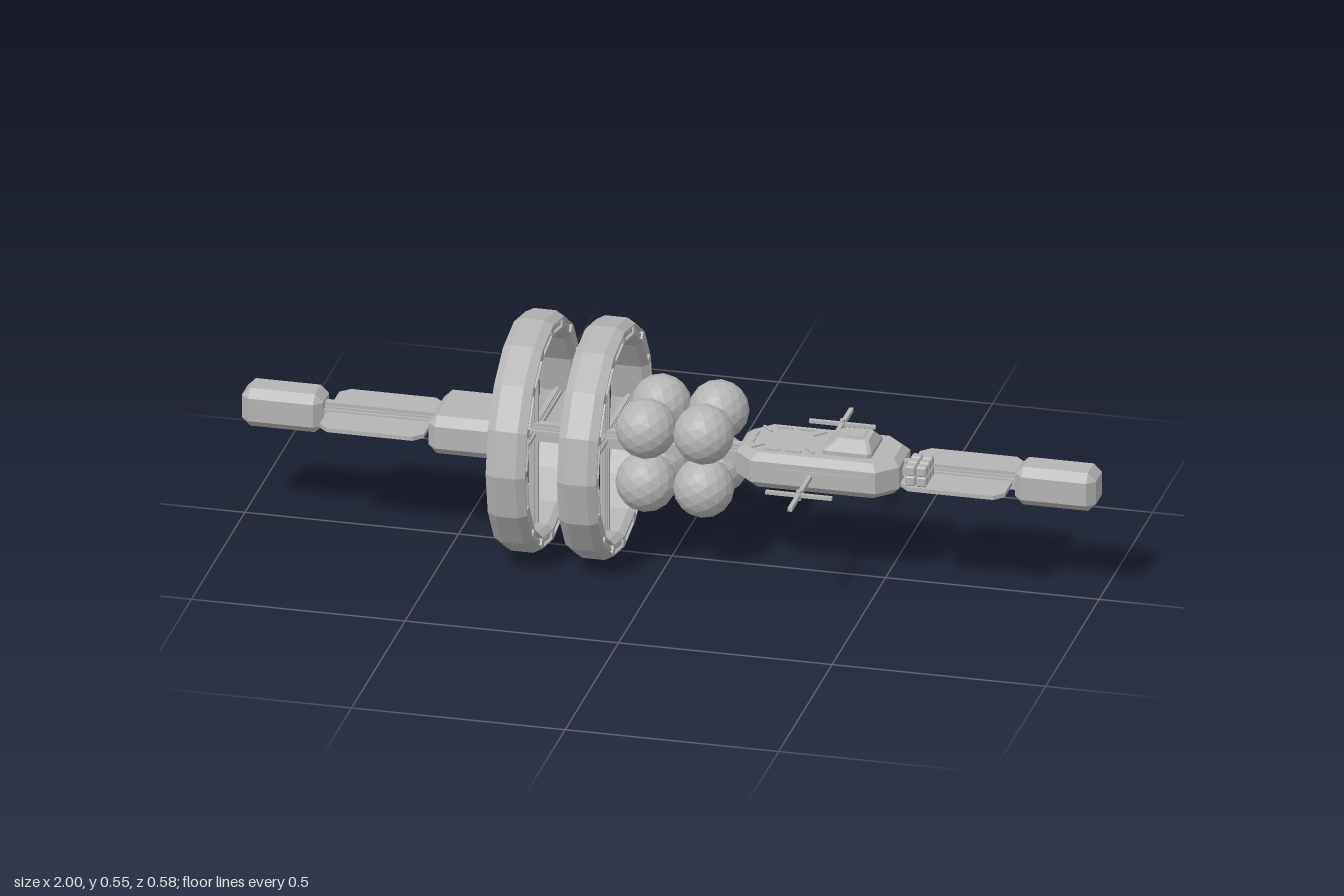
import * as THREE from 'three';
import { ConvexGeometry } from 'three/addons/geometries/ConvexGeometry.js';

const AXIS = 0.279; // height of the station's long axis
const hullGrey = new THREE.MeshStandardMaterial({ color: 0xb4b4b4 });
hullGrey.name = 'hullGrey';

// faceted normals
function faceted(geometry) {
  const g = geometry.index ? geometry.toNonIndexed() : geometry;
  g.computeVertexNormals();
  return g;
}

function add(parent, name, geometry, x = 0, y = 0, z = 0) {
  const mesh = new THREE.Mesh(faceted(geometry), hullGrey);
  mesh.name = name;
  mesh.position.set(x, y, z);
  parent.add(mesh);
  return mesh;
}

// box with every edge chamfered, given half sizes
function chamferBox(a, b, d, c) {
  const pts = [];
  for (const i of [-1, 1]) for (const j of [-1, 1]) for (const k of [-1, 1]) {
    pts.push(new THREE.Vector3(i * a, j * (b - c), k * (d - c)));
    pts.push(new THREE.Vector3(i * (a - c), j * b, k * (d - c)));
    pts.push(new THREE.Vector3(i * (a - c), j * (b - c), k * d));
  }
  return new ConvexGeometry(pts);
}

// stacked cut-corner rectangles, each level = [y, x0, x1, halfZ, cut]
function stackedHull(levels) {
  const pts = [];
  for (const [y, x0, x1, hz, cut] of levels) for (const s of [-1, 1]) {
    pts.push(new THREE.Vector3(x0, y, s * (hz - cut)), new THREE.Vector3(x0 + cut, y, s * hz));
    pts.push(new THREE.Vector3(x1, y, s * (hz - cut)), new THREE.Vector3(x1 - cut, y, s * hz));
  }
  return new ConvexGeometry(pts);
}

// grooved beam lying along z, centred
function beam(length, r) {
  const n = r * 0.4, m = r * 0.62;
  const quarter = [[r, n], [m, n], [m, m], [n, m], [n, r]];
  const pts = [];
  for (let q = 0; q < 4; q++) for (const [x, y] of quarter) {
    const c = [1, 0, -1, 0][q], s = [0, 1, 0, -1][q];
    pts.push(new THREE.Vector2(x * c - y * s, x * s + y * c));
  }
  return new THREE.ExtrudeGeometry(new THREE.Shape(pts), { depth: length, bevelEnabled: false })
    .translate(0, 0, -length / 2);
}

// sixteen-sided wheel around the x axis with slotted side faces and four spokes
function wheel() {
  const g = new THREE.Group();
  g.name = 'habitatWheel';
  const R = 0.277, r = 0.229, h = 0.046, c = 0.011, recess = 0.008;
  const profile = [
    [R - c, -h + recess], [R - c, -h], [R, -h + 0.02], [R, h - 0.02], [R - c, h], [R - c, h - recess],
    [r + c, h - recess], [r + c, h], [r, h - 0.014], [r, -h + 0.014], [r + c, -h], [r + c, -h + recess],
    [R - c, -h + recess],
  ].map(([a, b]) => new THREE.Vector2(a, b));
  add(g, 'wheelRim', new THREE.LatheGeometry(profile, 16).rotateZ(Math.PI / 2));

  // slotted side plates with a raised bar in every slot
  const polygon = (rad) => Array.from({ length: 16 }, (_, i) =>
    new THREE.Vector2(rad * Math.cos(i * Math.PI / 8), rad * Math.sin(i * Math.PI / 8)));
  const face = new THREE.Shape(polygon(R - c));
  face.holes.push(new THREE.Path(polygon(r + c)));
  const mid = (R + r) / 2 * Math.cos(Math.PI / 16);
  for (let i = 0; i < 16; i++) {
    const a = (i + 0.5) * Math.PI / 8;
    const slot = [[-0.009, -0.039], [0.009, -0.039], [0.009, 0.039], [-0.009, 0.039]].map(([u, v]) =>
      new THREE.Vector2(u + mid, v).rotateAround(new THREE.Vector2(), a));
    face.holes.push(new THREE.Path(slot));
    for (const s of [-1, 1]) {
      const bar = add(g, 'slotBar', new THREE.BoxGeometry(0.005, 0.009, 0.07),
        s * (h - 0.006), mid * Math.sin(a), mid * Math.cos(a));
      bar.rotation.x = Math.PI / 2 - a;
    }
  }
  for (const x of [-h, h - recess]) {
    add(g, 'wheelSide', new THREE.ExtrudeGeometry(face, { depth: recess, bevelEnabled: false })
      .rotateY(Math.PI / 2), x);
  }

  add(g, 'spokesAcross', beam(0.47, 0.011));
  add(g, 'spokesUpright', beam(0.47, 0.011).rotateX(Math.PI / 2));
  return g;
}

export function createModel() {
  const model = new THREE.Group();
  model.name = 'spaceStation';
  const station = new THREE.Group();
  station.name = 'station';
  station.position.y = AXIS;
  model.add(station);

  // spine
  add(station, 'spine', beam(1.7, 0.022).rotateY(Math.PI / 2));

  // end pods and flat panels
  for (const s of [-1, 1]) {
    add(station, 'endPod', chamferBox(0.095, 0.047, 0.047, 0.019), s * 0.905);
    add(station, 'solarPanel', stackedHull([
      [-0.005, -0.122, 0.122, 0.113, 0.022], [0.005, -0.122, 0.122, 0.113, 0.022]]), s * 0.68);
  }

  // rear module
  add(station, 'rearModule', chamferBox(0.09, 0.047, 0.094, 0.02), -0.462);

  // wheels
  for (const x of [-0.324, -0.157]) {
    const w = wheel();
    w.position.x = x;
    station.add(w);
  }

  // tanks
  for (const x of [-0.043, 0.092]) for (const y of [-0.066, 0.066]) for (const z of [-0.07, 0.07]) {
    add(station, 'tank', new THREE.IcosahedronGeometry(0.07, 2), x, y, z);
  }

  // command hull
  add(station, 'commandHull', stackedHull([
    [-0.046, 0.18, 0.53, 0.08, 0.04], [-0.028, 0.163, 0.545, 0.097, 0.045],
    [0.024, 0.163, 0.545, 0.097, 0.045], [0.04, 0.18, 0.53, 0.08, 0.04]]));
  for (const s of [-1, 1]) {
    add(station, 'sideStrip', new THREE.BoxGeometry(0.21, 0.022, 0.008), 0.375, 0, s * 0.096);
  }

  // cabin
  add(station, 'cabin', stackedHull([
    [0.035, 0.365, 0.48, 0.058, 0.008], [0.05, 0.365, 0.48, 0.058, 0.008],
    [0.073, 0.395, 0.467, 0.032, 0.006]]));
  add(station, 'cabinHatch', new THREE.BoxGeometry(0.045, 0.004, 0.04), 0.431, 0.073);

  // dashed landing outline on the deck
  const dash = (x, z, length, turn) => {
    add(station, 'deckMark', new THREE.BoxGeometry(length, 0.006, 0.006), x, 0.041, z).rotation.y = turn;
  };
  for (const s of [-1, 1]) {
    for (const x of [0.25, 0.3]) dash(x, s * 0.062, 0.035, 0);
    dash(0.213, s * 0.048, 0.035, s * Math.PI / 4);
    dash(0.335, s * 0.048, 0.035, -s * Math.PI / 4);
    dash(0.196, s * 0.018, 0.025, Math.PI / 2);
  }

  // side antennas
  for (const s of [-1, 1]) {
    add(station, 'antennaMast', new THREE.BoxGeometry(0.01, 0.01, 0.2), 0.348, 0, s * 0.188);
    add(station, 'antennaArm', new THREE.BoxGeometry(0.155, 0.008, 0.01), 0.348, 0, s * 0.205);
    add(station, 'antennaFin', new THREE.BoxGeometry(0.01, 0.024, 0.01), 0.348, 0, s * 0.205);
  }

  // cargo crates
  for (const x of [0.584, 0.61]) for (const y of [0.018, 0.043]) for (const z of [0.041, 0.069, 0.097]) {
    add(station, 'cargoCrate', chamferBox(0.012, 0.012, 0.012, 0.003), x, y, z);
  }
  return model;
}
